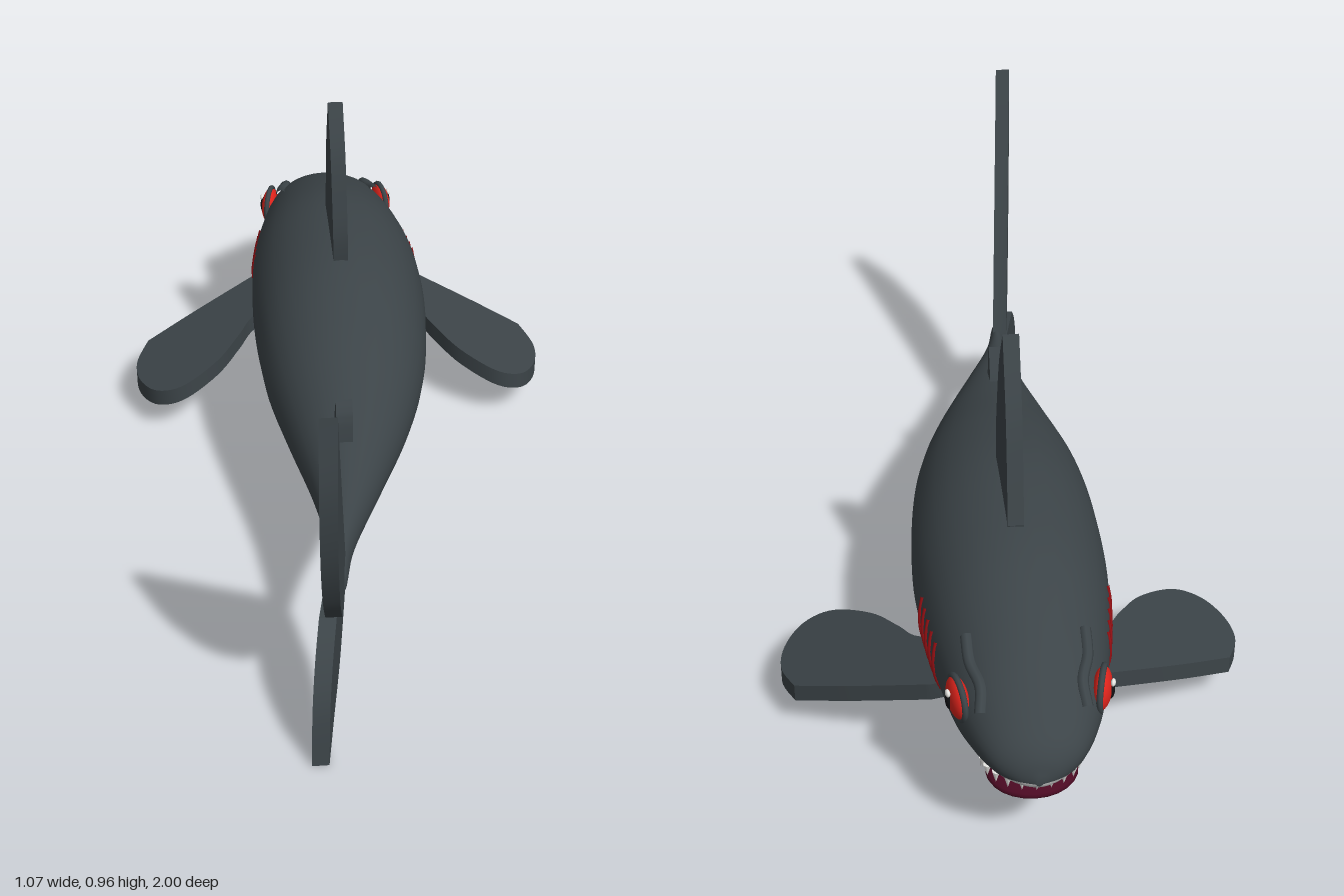
import * as THREE from 'three';
import { toCreasedNormals } from 'three/addons/utils/BufferGeometryUtils.js';

const mat = (name, color) => {
  const m = new THREE.MeshStandardMaterial({ color });
  m.name = name;
  return m;
};
const V2 = (p) => new THREE.Vector2(p[0], p[1]);

// Body stations: z, top y, bottom y, centre x, half width, belly line y
const STATIONS = [
  [-1.0, 0.29, 0.27, 0, 0.008, 0.275],
  [-0.985, 0.335, 0.253, 0, 0.055, 0.275],
  [-0.95, 0.375, 0.235, 0, 0.1, 0.267],
  [-0.88, 0.42, 0.205, 0, 0.138, 0.25],
  [-0.77, 0.475, 0.155, 0, 0.172, 0.235],
  [-0.58, 0.535, 0.12, 0, 0.207, 0.215],
  [-0.4, 0.553, 0.115, 0, 0.222, 0.195],
  [-0.2, 0.547, 0.122, -0.004, 0.217, 0.198],
  [0.0, 0.507, 0.145, -0.01, 0.193, 0.22],
  [0.2, 0.447, 0.187, -0.021, 0.143, 0.24],
  [0.4, 0.392, 0.228, -0.04, 0.08, 0.254],
  [0.58, 0.35, 0.257, -0.064, 0.03, 0.268],
  [0.7, 0.33, 0.268, -0.076, 0.014, 0.275],
];
const curveA = new THREE.CatmullRomCurve3(STATIONS.map((s) => new THREE.Vector3(s[0], s[1], s[2])), false, 'catmullrom', 0.5);
const curveB = new THREE.CatmullRomCurve3(STATIONS.map((s) => new THREE.Vector3(s[3], s[4], s[5])), false, 'catmullrom', 0.5);

function section(t) {
  const a = curveA.getPoint(t), b = curveB.getPoint(t);
  return { z: a.x, cy: (a.y + a.z) / 2, ry: Math.max((a.y - a.z) / 2, 0.004), cx: b.x, hw: Math.max(b.y, 0.004), belly: b.z };
}
// Point on the flank at a given z and y, pushed outward by lift
function flank(side, z, y, lift = 0) {
  let lo = 0, hi = 1;
  for (let i = 0; i < 30; i++) {
    const mid = (lo + hi) / 2;
    if (section(mid).z < z) lo = mid; else hi = mid;
  }
  const s = section(lo), k = (y - s.cy) / s.ry;
  return new THREE.Vector3(s.cx + side * (s.hw * Math.sqrt(Math.max(0, 1 - k * k)) + lift), y, z);
}

// Smooth body loft: dark back and pale belly share the rings
function bodyGeometry() {
  const rings = 60, back = 22, belly = 12, n = back + belly;
  const pos = [], upper = [], lower = [];
  for (let i = 0; i <= rings; i++) {
    const s = section(i / rings);
    const phi = Math.asin(THREE.MathUtils.clamp((s.belly - s.cy) / s.ry, -0.95, 0.95));
    for (let j = 0; j < n; j++) {
      const a = j < back
        ? phi + (Math.PI - 2 * phi) * (j / back)
        : Math.PI - phi + (Math.PI + 2 * phi) * ((j - back) / belly);
      pos.push(s.cx + s.hw * Math.cos(a), s.cy + s.ry * Math.sin(a), s.z);
    }
  }
  for (let i = 0; i < rings; i++) {
    for (let j = 0; j < n; j++) {
      const a = i * n + j, b = i * n + ((j + 1) % n), c = a + n, d = b + n;
      (j < back ? upper : lower).push(a, b, d, a, d, c);
    }
  }
  // End caps
  const last = rings * n;
  for (let j = 1; j < n - 1; j++) upper.push(0, j + 1, j, last, last + j, last + j + 1);
  const g = new THREE.BufferGeometry();
  g.setAttribute('position', new THREE.Float32BufferAttribute(pos, 3));
  g.setIndex([...upper, ...lower]);
  g.addGroup(0, upper.length, 0);
  g.addGroup(upper.length, lower.length, 1);
  g.computeVertexNormals();
  return g;
}

// Plate cut from curved outline runs, then each vertex placed by a rule
function plate(start, runs, thick, place) {
  const shape = new THREE.Shape();
  shape.moveTo(...start);
  runs.forEach((r) => (r.length > 1 ? shape.splineThru(r.map(V2)) : shape.lineTo(...r[0])));
  const g = new THREE.ExtrudeGeometry(shape, { depth: thick, bevelEnabled: false, curveSegments: 5 });
  const p = g.attributes.position;
  for (let i = 0; i < p.count; i++) p.setXYZ(i, ...place(p.getX(i), p.getY(i), p.getZ(i) - thick / 2));
  return toCreasedNormals(g, 0.6);
}
// Upright fin: outline in (z, y), xAt gives the sideways position
const uprightFin = (start, runs, thick, xAt) =>
  plate(start, runs, thick, (z, y, d) => [xAt(z, y) - d, y, z]);

export function createModel() {
  const root = new THREE.Group();
  const skin = mat('slateSkin', 0x3c4448);
  const pale = mat('paleBelly', 0xc6c6c6);
  const red = mat('eyeRed', 0xe0241c);
  const gillRed = mat('gillRed', 0x9c1014);
  const maroon = mat('mouthMaroon', 0x4a0a22);
  const black = mat('pupilBlack', 0x121214);
  const white = mat('toothWhite', 0xf0f0ec);
  const add = (name, geo, material, parent = root) => {
    const m = new THREE.Mesh(geo, material);
    m.name = name;
    parent.add(m);
    return m;
  };

  add('body', bodyGeometry(), [skin, pale]);

  // Fins on the centre line
  add('dorsalFin', uprightFin([-0.47, 0.5],
    [[[-0.485, 0.55]], [[-0.41, 0.77], [-0.312, 0.937]], [[-0.25, 0.83], [-0.22, 0.71], [-0.208, 0.61], [-0.22, 0.5]]],
    0.036, (z, y) => -0.003 - 0.012 * (y - 0.5)), skin);
  add('rearDorsalFin', uprightFin([0.26, 0.39],
    [[[0.28, 0.44], [0.312, 0.505]], [[0.335, 0.465], [0.345, 0.38]]], 0.038, () => -0.038), skin);
  add('analFin', uprightFin([0.23, 0.23],
    [[[0.25, 0.18], [0.28, 0.13]], [[0.31, 0.17], [0.325, 0.24]]], 0.038, () => -0.037), skin);

  // Tail lobes
  add('upperTailLobe', uprightFin([0.64, 0.265],
    [[[0.65, 0.34]], [[0.982, 0.957]], [[1.0, 0.77], [0.97, 0.58], [0.9, 0.42], [0.81, 0.3]]],
    0.036, (z) => -0.08 - 0.12 * (z - 0.65)), skin);
  add('lowerTailLobe', uprightFin([0.64, 0.32],
    [[[0.65, 0.265]], [[0.754, 0.128], [0.86, 0.06], [0.947, 0.0]], [[0.925, 0.14], [0.877, 0.235], [0.81, 0.3]]],
    0.038, (z) => -0.08 - 0.2 * (z - 0.65)), skin);

  for (const s of [1, -1]) {
    const side = s > 0 ? 'left' : 'right';

    // Pectoral paddle, drooping outward
    const m = (list) => list.map(([x, z]) => [x * s, -z]);
    add(side + 'PectoralFin', plate(m([[0.14, -0.655]])[0],
      [m([[0.2, -0.645]]), m([[0.375, -0.565], [0.505, -0.5]]),
        m([[0.535, -0.42], [0.525, -0.34], [0.48, -0.275], [0.41, -0.262], [0.32, -0.32], [0.26, -0.4], [0.22, -0.46], [0.14, -0.5]])],
      0.045, (x, b, d) => [x, 0.215 - 0.33 * (Math.abs(x) - 0.2) - 0.06 * (-b + 0.5) + d, -b]), skin);

    // Pelvic fin
    add(side + 'PelvicFin', uprightFin([-0.29, 0.16],
      [[[-0.27, 0.115], [-0.24, 0.062], [-0.195, 0.047], [-0.168, 0.08], [-0.172, 0.125], [-0.19, 0.16]]],
      0.036, (z, y) => -0.006 + s * (0.07 + 0.42 * (0.128 - y))), skin);

    // Gill slits
    for (let i = 0; i < 5; i++) {
      const z = -0.515 - i * 0.035, top = 0.39 - i * 0.003, low = 0.228 + i * 0.004;
      const pts = [0, 1, 2, 3, 4].map((k) =>
        flank(s, z - 0.008 * Math.sin((k / 4) * Math.PI), top + (low - top) * (k / 4), 0));
      add(side + 'GillSlit', new THREE.TubeGeometry(new THREE.CatmullRomCurve3(pts), 10, 0.005, 5), gillRed);
    }

    // Eye
    const eye = new THREE.Group();
    eye.name = side + 'Eye';
    eye.position.copy(flank(s, -0.815, 0.36, 0.002));
    eye.rotation.y = s * THREE.MathUtils.degToRad(105);
    root.add(eye);
    const ball = (name, r, scale, p, material) => {
      const b = add(name, new THREE.SphereGeometry(r, 20, 14), material, eye);
      b.scale.set(...scale);
      b.position.set(...p);
    };
    ball('iris', 0.048, [1, 1, 0.45], [0, 0, 0], red);
    ball('pupil', 0.026, [0.45, 1, 0.4], [0, 0, 0.017], black);
    ball('glint', 0.009, [1, 1, 0.6], [s * 0.003, 0.022, 0.023], white);
    add('eyeRim', new THREE.TorusGeometry(0.049, 0.007, 8, 24), skin, eye);

    // Slanted brow
    const brow = [[-0.72, 0.447], [-0.78, 0.424], [-0.84, 0.408], [-0.885, 0.375]].map(([z, y]) => flank(s, z, y, 0.003));
    add(side + 'Brow', new THREE.TubeGeometry(new THREE.CatmullRomCurve3(brow), 14, 0.013, 8), skin);
  }

  // Mouth, lower lip and teeth
  const mouth = add('mouth', new THREE.SphereGeometry(1, 24, 12), maroon);
  mouth.scale.set(0.1, 0.024, 0.083);
  mouth.position.set(0, 0.186, -0.866);
  const lip = add('lowerLip', new THREE.TorusGeometry(0.095, 0.014, 8, 24, Math.PI), pale);
  lip.rotation.x = Math.PI / 2;
  lip.position.set(0, 0.18, -0.84);
  lip.scale.y = 0.85;
  for (let i = 0; i < 13; i++) {
    const a = (i / 12 - 0.5) * 3.6;
    const tooth = add('tooth', new THREE.ConeGeometry(0.009, 0.032, 6), white);
    tooth.rotation.x = Math.PI;
    tooth.position.set(0.105 * Math.sin(a), 0.208 + 0.022 * Math.cos(a), -0.85 - 0.105 * Math.cos(a));
  }
  return root;
}
